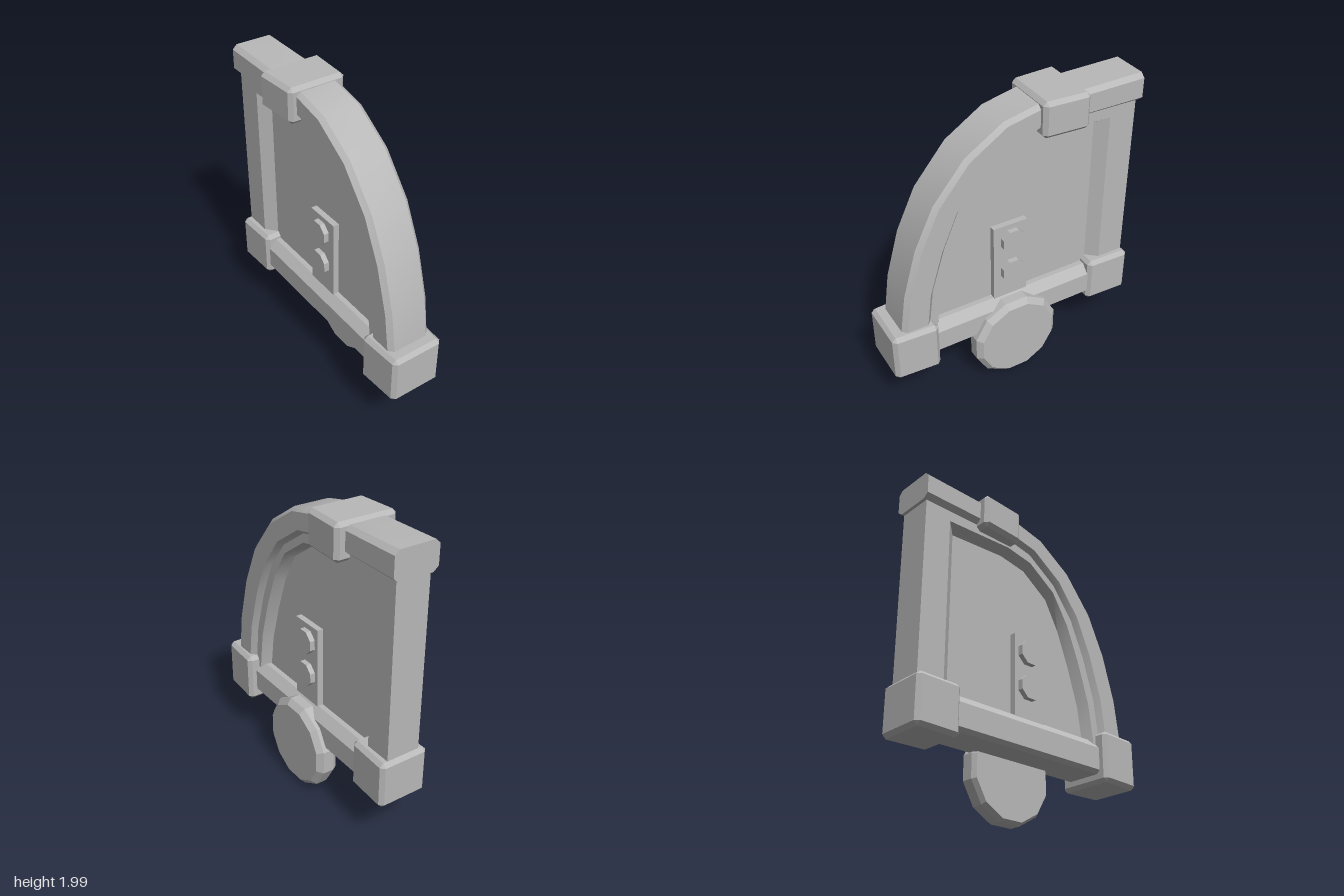
import * as THREE from 'three';
import { toCreasedNormals } from 'three/addons/utils/BufferGeometryUtils.js';
import { ConvexGeometry } from 'three/addons/geometries/ConvexGeometry.js';

// Sweep a mirrored section [[t, halfWidth], ...] through stations [zOuter, yOuter, zInner, yInner].
function sweep(stations, half) {
  const loop = [...half, ...half.map(([t, x]) => [t, -x]).reverse()];
  const n = loop.length, pos = [], idx = [];
  for (const [z0, y0, z1, y1] of stations) {
    for (const [t, x] of loop) pos.push(x, y0 + (y1 - y0) * t, z0 + (z1 - z0) * t);
  }
  for (let s = 0; s < stations.length - 1; s++) {
    for (let i = 0; i < n; i++) {
      const a = s * n + i, b = s * n + (i + 1) % n;
      idx.push(a, b, b + n, a, b + n, a + n);
    }
  }
  const last = (stations.length - 1) * n;
  for (let i = 1; i < n - 1; i++) {
    idx.push(0, i + 1, i, last, last + i, last + i + 1);
  }
  const g = new THREE.BufferGeometry();
  g.setAttribute('position', new THREE.Float32BufferAttribute(pos, 3));
  g.setIndex(idx);
  return toCreasedNormals(g, 0.45);
}

// Chamfered block; halfBack and halfFront are its half widths at the two z ends.
function block(halfBack, halfFront, y0, y1, z0, z1, c = 0.025) {
  const pts = [];
  for (const sx of [-1, 1]) for (const sy of [0, 1]) for (const sz of [0, 1]) {
    const x = sx * (sz ? halfFront : halfBack), y = sy ? y1 : y0, z = sz ? z1 : z0;
    const ix = x - sx * c, iy = y + (sy ? -c : c), iz = z + (sz ? -c : c);
    pts.push(new THREE.Vector3(x, iy, iz), new THREE.Vector3(ix, y, iz), new THREE.Vector3(ix, iy, z));
  }
  return new ConvexGeometry(pts);
}

export function createModel() {
  const model = new THREE.Group();
  const grey = new THREE.MeshStandardMaterial({ color: 0xb8b8b8 });
  grey.name = 'plain grey';
  const add = (name, geometry) => {
    const mesh = new THREE.Mesh(geometry, grey);
    mesh.name = name;
    model.add(mesh);
    return mesh;
  };

  // Curved outer rim running into the straight top rail
  const rim = [
    [0.81, 0.55, 0.65, 0.55], [0.8, 0.66, 0.635, 0.64], [0.76, 0.93, 0.6, 0.9],
    [0.67, 1.24, 0.51, 1.19], [0.54, 1.51, 0.4, 1.44], [0.33, 1.76, 0.235, 1.65],
    [0.08, 1.92, 0.01, 1.8], [-0.17, 1.975, -0.17, 1.835], [-0.875, 1.985, -0.875, 1.83],
  ];
  add('archRim', sweep(rim, [[0, 0.12], [0.18, 0.15], [1, 0.15], [1.19, 0.115]]));

  // Stepped inner frame with a slope down to the panel
  const panelEdge = [
    [0.52, 0.5], [0.51, 0.64], [0.48, 0.84], [0.4, 1.1], [0.31, 1.34],
    [0.2, 1.54], [0, 1.68], [-0.2, 1.715], [-0.85, 1.68],
  ];
  const frame = panelEdge.map(([z, y], i) => [Math.max(rim[i][2], -0.85), rim[i][3], z, y]);
  add('innerFrame', sweep(frame, [[0, 0.115], [0.7, 0.115], [1, 0.05]]));

  // Recessed panel, drawn in (z, y) and turned to face sideways
  const outline = [...frame.map(([, , z, y]) => new THREE.Vector2(-z, y)),
    new THREE.Vector2(0.85, 0.5)];
  const panel = new THREE.ExtrudeGeometry(new THREE.Shape(outline), { depth: 0.1, bevelEnabled: false });
  panel.translate(0, 0, -0.05).rotateY(Math.PI / 2);
  add('panel', panel);

  // Rear post with a sloping inner edge
  add('rearPost', sweep(
    [[-0.855, 0.45, -0.6, 0.45], [-0.855, 1.85, -0.6, 1.85]].map(([a, b, c, d]) => [c, d, a, b]),
    [[0, 0.05], [0.28, 0.115], [1, 0.115]]));

  // Bottom rail: wide chamfer above, narrow chamfer below
  add('bottomRail', sweep(
    [[-0.7, 0.62, -0.7, 0.39], [0.7, 0.62, 0.7, 0.39]].reverse(),
    [[0, 0.085], [0.26, 0.14], [0.9, 0.14], [1, 0.115]]));

  // Blocky clamps at the corners and over the top rail
  add('frontFoot', block(0.195, 0.18, 0.33, 0.67, 0.575, 0.88));
  add('rearFoot', block(0.17, 0.16, 0.34, 0.66, -0.88, -0.57));
  add('topClamp', block(0.21, 0.195, 1.765, 2, -0.46, -0.15));

  // Bolted strap showing on both sides of the panel
  const strap = add('strap', new THREE.BoxGeometry(0.18, 0.62, 0.24));
  strap.position.set(0, 0.86, 0.01);
  for (const y of [0.82, 1.055]) {
    const bolt = new THREE.CylinderGeometry(0.085, 0.085, 0.25, 8).toNonIndexed();
    bolt.rotateY(Math.PI / 8).rotateZ(-Math.PI / 2);
    bolt.computeVertexNormals();
    add('bolt', bolt).position.set(0, y, 0);
  }

  // Round disc hung on one side of the bottom rail
  const disc = new THREE.LatheGeometry(
    [[0, 0.06], [0.29, 0.06], [0.309, 0.09], [0.309, 0.165], [0.272, 0.2], [0, 0.2]]
      .map(([r, h]) => new THREE.Vector2(r, h)), 12);
  disc.rotateY(Math.PI / 12).rotateZ(-Math.PI / 2);
  add('sideDisc', toCreasedNormals(disc, 0.3)).position.set(0, 0.305, 0.01);

  return model;
}
